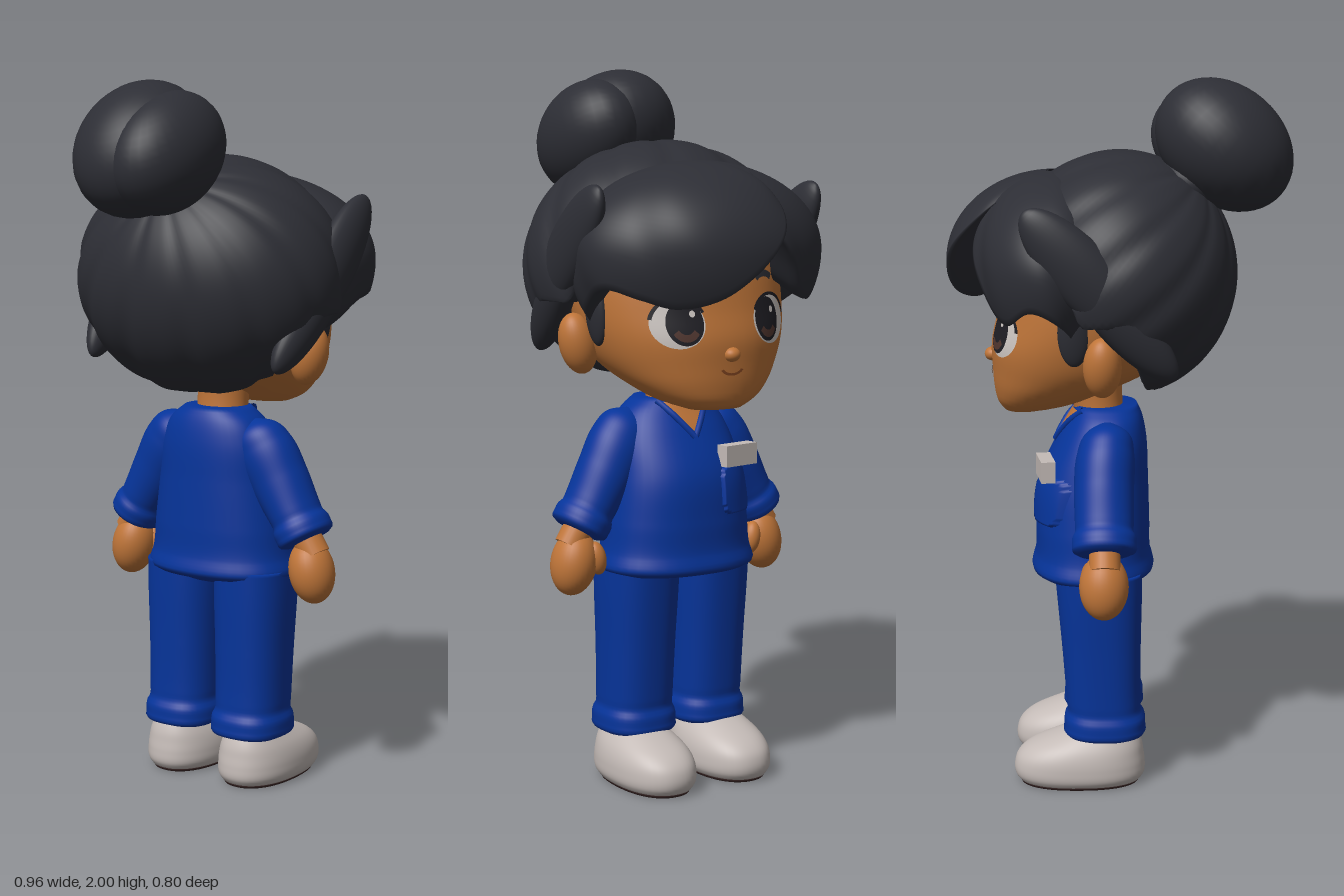
import * as THREE from 'three';
import { mergeVertices } from 'three/addons/utils/BufferGeometryUtils.js';

const mat = (name, color) => {
  const m = new THREE.MeshStandardMaterial({ color, side: THREE.DoubleSide });
  m.name = name;
  return m;
};
const { sin, cos, PI, abs, max, min } = Math;
const rad = THREE.MathUtils.degToRad, smoothstep = THREE.MathUtils.smoothstep;

export function createModel() {
  const hair = mat('charcoal hair', 0x2d2e35), skin = mat('warm skin', 0xbf7539), blue = mat('scrub blue', 0x06349a);
  const shoe = mat('shoe grey', 0xc4bbb7), sole = mat('dark sole', 0x402b2a), white = mat('eye white', 0xcfc8c4);
  const dark = mat('eye dark', 0x1f1e24), brown = mat('iris brown', 0x51362f), lip = mat('lip brown', 0x854722);

  // The figure is built facing +z, then turned to face +x.
  const body = new THREE.Group();
  body.name = 'figure';
  body.rotation.y = PI / 2;

  const add = (name, geo, material, x = 0, y = 0, z = 0, parent = body) => {
    const m = new THREE.Mesh(geo, material);
    m.name = name;
    m.position.set(x, y, z);
    parent.add(m);
    return m;
  };
  const smooth = (geo) => {
    geo.deleteAttribute('uv');
    geo.deleteAttribute('normal');
    const g = mergeVertices(geo, 1e-4);
    g.computeVertexNormals();
    return g;
  };
  // Smooth skin over a grid of points; rows run upwards, columns to the right.
  const grid = (rows, cols, fn) => {
    const pos = [], idx = [], w = cols + 1;
    for (let i = 0; i <= rows; i++) for (let j = 0; j <= cols; j++) pos.push(...fn(i, j / cols));
    for (let i = 0; i < rows; i++) for (let j = 0; j < cols; j++) {
      const a = i * w + j;
      idx.push(a, a + 1, a + w, a + 1, a + w + 1, a + w);
    }
    const g = new THREE.BufferGeometry();
    g.setAttribute('position', new THREE.Float32BufferAttribute(pos, 3));
    g.setIndex(idx);
    return smooth(g);
  };
  const curve = (rows) => {
    const size = rows[0].length - 1;
    const c = new THREE.CubicInterpolant(rows.map((r) => r[0]), rows.flatMap((r) => r.slice(1)), size, new Array(size));
    return (t) => Array.from(c.evaluate(t));
  };
  // Closed loft of rounded cross-sections [y, centreX, centreZ, radiusX, radiusZ].
  const loft = (rows, n = 2, steps = 28, seg = 48) => {
    const at = curve(rows), y0 = rows[0][0], y1 = rows[rows.length - 1][0];
    return grid(steps + 2, seg, (i, u) => {
      const y = y0 + (y1 - y0) * min(max((i - 1) / steps, 0), 1);
      const [cx, cz, rx, rz] = at(y), k = i === 0 || i === steps + 2 ? 0 : 1;
      const s = sin(u * 2 * PI), c = cos(u * 2 * PI);
      const q = k / Math.pow(Math.pow(abs(s), n) + Math.pow(abs(c), n), 1 / n);
      return [cx + rx * s * q, y, cz + rz * c * q];
    });
  };
  // Front depth of a loft, used to lay thin plates on it.
  const frontOf = (rows, n) => {
    const at = curve(rows);
    return (x, y) => {
      const [cx, cz, rx, rz] = at(y);
      return cz + rz * Math.pow(max(0, 1 - Math.pow(abs((x - cx) / rx), n)), 1 / n);
    };
  };
  const decal = (name, geo, material, surf, off) => {
    const p = geo.attributes.position;
    for (let i = 0; i < p.count; i++) p.setZ(i, surf(p.getX(i), p.getY(i)) + off);
    geo.computeVertexNormals();
    return add(name, geo, material);
  };
  const ball = (name, material, x, y, z, rx, ry, rz, roll = 0, pitch = 0) => {
    const m = add(name, new THREE.SphereGeometry(1, 32, 24), material, x, y, z);
    m.scale.set(rx, ry, rz);
    m.rotation.set(pitch, 0, roll);
    return m;
  };

  // Shirt with rolled hem, neck and V collar
  const torso = [[0.605, 0, 0.075, 0.212, 0.158], [0.615, 0, 0.075, 0.23, 0.172], [0.64, 0, 0.075, 0.229, 0.171],
    [0.66, 0, 0.075, 0.222, 0.165], [0.75, 0, 0.075, 0.212, 0.162], [0.88, 0, 0.071, 0.194, 0.154],
    [1.0, 0, 0.047, 0.17, 0.124], [1.06, 0, 0.036, 0.135, 0.1], [1.09, 0, 0.035, 0.095, 0.085]];
  const chest = frontOf(torso, 2.3);
  add('shirt', loft(torso, 2.3, 48), blue);
  add('neck', loft([[1.02, 0, 0.05, 0.08, 0.07], [1.1, 0, 0.06, 0.075, 0.07], [1.2, 0, 0.07, 0.08, 0.08]]), skin);
  const vee = new THREE.PlaneGeometry(1, 1, 12, 12), vp = vee.attributes.position;
  for (let i = 0; i < vp.count; i++) {
    const v = vp.getY(i) + 0.5;
    vp.setXY(i, vp.getX(i) * 0.15 * v, 0.99 + 0.09 * v);
  }
  decal('neckOpening', vee, skin, chest, 0.004);
  for (const s of [-1, 1]) {
    const pts = [0, 0.33, 0.66, 1].map((v) => {
      const x = s * 0.077 * v, y = 0.985 + 0.098 * v;
      return new THREE.Vector3(x, y, chest(x, y));
    });
    add('collarTrim', new THREE.TubeGeometry(new THREE.CatmullRomCurve3(pts), 16, 0.01, 8), blue);
  }

  // Chest pocket raised from the shirt, and badge
  const pocketFront = (x, y) => {
    const edge = Math.pow(abs((x - 0.12) / 0.062), 5) + Math.pow(abs((y - 0.835) / 0.068), 5);
    return chest(x, y) + (edge < 0.95 ? 0.012 : -0.006);
  };
  decal('pocket', new THREE.PlaneGeometry(0.13, 0.14, 26, 28).translate(0.12, 0.835, 0), blue, pocketFront, 0);
  const badge = add('badge', new THREE.BoxGeometry(0.115, 0.06, 0.04), shoe, 0.123, 0.93, 0.207);
  badge.rotation.y = 0.15;

  // Arms, legs and shoes, mirrored
  add('hips', loft([[0.585, 0, 0.06, 0.14, 0.09], [0.6, 0, 0.06, 0.19, 0.12], [0.64, 0, 0.065, 0.2, 0.13]]), blue);
  for (const s of [-1, 1]) {
    const arm = new THREE.Group();
    arm.name = s > 0 ? 'leftArm' : 'rightArm';
    arm.position.set(s * 0.3, 0.735, 0.045);
    arm.rotation.z = s * 0.54;
    body.add(arm);
    add('sleeve', loft([[-0.005, 0, 0.002, 0.06, 0.07], [0.003, 0, 0, 0.076, 0.086], [0.02, 0, 0, 0.08, 0.089],
      [0.045, 0, 0, 0.079, 0.088], [0.058, 0, 0, 0.073, 0.081], [0.08, 0, 0, 0.074, 0.081], [0.18, 0, 0, 0.085, 0.083],
      [0.28, 0, -0.005, 0.088, 0.08], [0.34, 0, -0.01, 0.064, 0.06], [0.37, 0, -0.01, 0.02, 0.02]], 2, 48), blue, 0, 0, 0, arm);
    add('wrist', new THREE.CylinderGeometry(0.042, 0.044, 0.08, 24), skin, 0, -0.012, 0, arm);
    ball('hand', skin, s * 0.315, 0.643, 0.047, 0.064, 0.092, 0.068, s * 0.2);
    ball('thumb', skin, s * 0.262, 0.655, 0.08, 0.027, 0.048, 0.03, s * -0.2);

    const x = s * 0.118;
    add('trouserLeg', loft([[0.138, x, 0.043, 0.09, 0.09], [0.146, x, 0.043, 0.106, 0.112], [0.17, x, 0.043, 0.11, 0.116],
      [0.198, x, 0.043, 0.108, 0.114], [0.212, x, 0.044, 0.101, 0.106], [0.24, x, 0.046, 0.101, 0.106],
      [0.4, x, 0.052, 0.104, 0.112], [0.55, x, 0.057, 0.109, 0.12], [0.63, x, 0.06, 0.11, 0.124]], 2.5, 56), blue);
    const sx = s * 0.127;
    add('shoe', loft([[0.009, sx, 0.115, 0.1, 0.174], [0.025, sx, 0.115, 0.11, 0.185], [0.06, sx, 0.115, 0.113, 0.187],
      [0.09, sx, 0.11, 0.109, 0.178], [0.115, sx, 0.096, 0.1, 0.16], [0.138, sx, 0.074, 0.086, 0.13],
      [0.16, sx, 0.05, 0.07, 0.095]], 2.3), shoe);
    add('sole', loft([[0, sx, 0.115, 0.094, 0.168], [0.01, sx, 0.115, 0.1, 0.174]], 2.3, 2), sole);
    const tongue = add('shoeTongue', new THREE.TorusGeometry(0.055, 0.014, 8, 24, PI), shoe, sx, 0.095, 0.17);
    tongue.rotation.x = -0.6;
    ball(s > 0 ? 'leftEar' : 'rightEar', skin, s * 0.3, 1.252, 0.05, 0.052, 0.086, 0.052, s * -0.25);
    ball('sideburn', hair, s * 0.286, 1.345, 0.125, 0.022, 0.095, 0.045, s * -0.08);
    // Locks swept back over the temple and above the ear
    ball('templeLock', hair, s * 0.352, 1.51, 0.1, 0.045, 0.23, 0.085, 0, 0.75);
    ball('earLock', hair, s * 0.338, 1.37, -0.01, 0.046, 0.2, 0.065, s * -0.12, 0.75);
  }

  // Head, with the face leaning forward to the chin
  const head = [[1.08, 0, 0.27, 0.08, 0.055], [1.1, 0, 0.235, 0.135, 0.105], [1.14, 0, 0.19, 0.195, 0.16],
    [1.2, 0, 0.13, 0.25, 0.225], [1.27, 0, 0.1, 0.283, 0.257], [1.35, 0, 0.08, 0.3, 0.26],
    [1.45, 0, 0.06, 0.3, 0.26], [1.55, 0, 0.04, 0.28, 0.25], [1.66, 0, 0.03, 0.18, 0.16]];
  const face = frontOf(head, 2.2);
  add('head', loft(head, 2.2, 48), skin);
  ball('nose', skin, 0, 1.232, 0.354, 0.024, 0.02, 0.024);

  // Eyes, lashes, brows and mouth as thin plates on the face
  const disc = (x, y, rx, ry) => new THREE.RingGeometry(0, 1, 32, 6).scale(rx, ry, 1).translate(x, y, 0);
  const arc = (x, y, rx, ry, thick, from, to) =>
    new THREE.RingGeometry(1 - thick, 1, 24, 2, rad(from), rad(to - from)).scale(rx, ry, 1).translate(x, y, 0);
  for (const s of [-1, 1]) {
    decal('eyeWhite', disc(s * 0.148, 1.318, 0.069, 0.066), white, face, 0.003);
    decal('iris', disc(s * 0.133, 1.32, 0.049, 0.06), dark, face, 0.005);
    decal('irisGlow', arc(s * 0.133, 1.32, 0.04, 0.05, 0.4, 215, 325), brown, face, 0.007);
    decal('eyeGlint', disc(s * 0.133 + 0.018, 1.345, 0.008, 0.009), white, face, 0.008);
    decal('lashes', arc(s * 0.148, 1.318, 0.074, 0.074, 0.12, s > 0 ? 10 : 25, s > 0 ? 155 : 170), dark, face, 0.007);
    decal('brow', arc(s * 0.135, 1.39, 0.06, 0.062, 0.3, 50, 130), hair, face, 0.005);
  }
  decal('mouth', arc(0, 1.205, 0.042, 0.03, 0.22, 210, 330), lip, face, 0.004);

  // Hair cap: strands gather toward the bun; the underside is lifted clear of the face
  const cap = new THREE.SphereGeometry(1, 128, 64), cp = cap.attributes.position;
  for (let i = 0; i < cp.count; i++) {
    const x = cp.getX(i), z = cp.getZ(i), a = Math.atan2(z, x);
    const k = 1 - 0.022 * Math.hypot(x, z) * Math.pow(abs(sin(a * 6 + 1.5 * cp.getY(i))), 6);
    cp.setXYZ(i, x * k, cp.getY(i) * k, z * k);
  }
  cap.rotateX(-0.7).scale(0.402, 0.342, 0.332).translate(0, 1.46, 0);
  for (let i = 0; i < cp.count; i++) {
    const z = cp.getZ(i);
    const line = 1.145 + 0.225 * smoothstep(z, -0.09, 0.01) + 0.26 * smoothstep(z, 0.1, 0.2);
    cp.setY(i, max(cp.getY(i), line));
  }
  add('hairCap', smooth(cap), hair);

  // Fringe locks: a domed shell down to a hairline of [angle, y], rolled under at the edge
  const lock = (name, line, depth, wave) => {
    const at = curve(line), a0 = line[0][0], a1 = line[line.length - 1][0];
    add(name, grid(30, 64, (i, u) => {
      const deg = a0 + (a1 - a0) * u, a = rad(deg), edge = at(deg)[0];
      const low = Math.asin((edge - 1.5) / (edge < 1.5 ? 0.32 : 0.247)), t = max(0, i - 3) / 27;
      const phi = low + (1.5 - low) * t;
      const y = 1.5 + sin(phi) * (phi < 0 ? 0.32 : 0.247) + (i < 3 ? [0.05, 0.012, 0.002][i] : 0);
      const roll = i < 3 ? [0.72, 0.9, 0.965][i] : 1;
      const end = 1 - 0.1 * Math.pow(abs(2 * u - 1), 8);
      const strand = 1 - 0.04 * (1 - t) * Math.pow(abs(sin(u * wave + t * 2)), 6);
      const r = cos(phi) * roll * end * strand;
      return [0.39 * sin(a) * r, y, 0.18 + depth * cos(a) * r];
    }), hair);
  };
  lock('fringeRight', [[-115, 1.27], [-90, 1.37], [-70, 1.415], [-52, 1.39], [-36, 1.365], [-15, 1.39], [0, 1.455],
    [15, 1.55], [32, 1.67]], 0.3, 8);
  lock('fringeLeft', [[5, 1.62], [20, 1.54], [30, 1.47], [42, 1.39], [55, 1.365], [75, 1.41], [95, 1.37], [115, 1.28]], 0.24, 5);

  // Bun: a tilted ball wrapped by a second coil
  ball('bun', hair, 0.022, 1.817, -0.289, 0.178, 0.163, 0.208, 0, -0.7);
  ball('bunCoil', hair, -0.062, 1.808, -0.284, 0.135, 0.155, 0.202, 0, -0.45);
  ball('bunBase', hair, 0, 1.72, -0.2, 0.13, 0.09, 0.11);

  const model = new THREE.Group();
  model.name = 'nurseFigure';
  model.add(body);
  return model;
}
